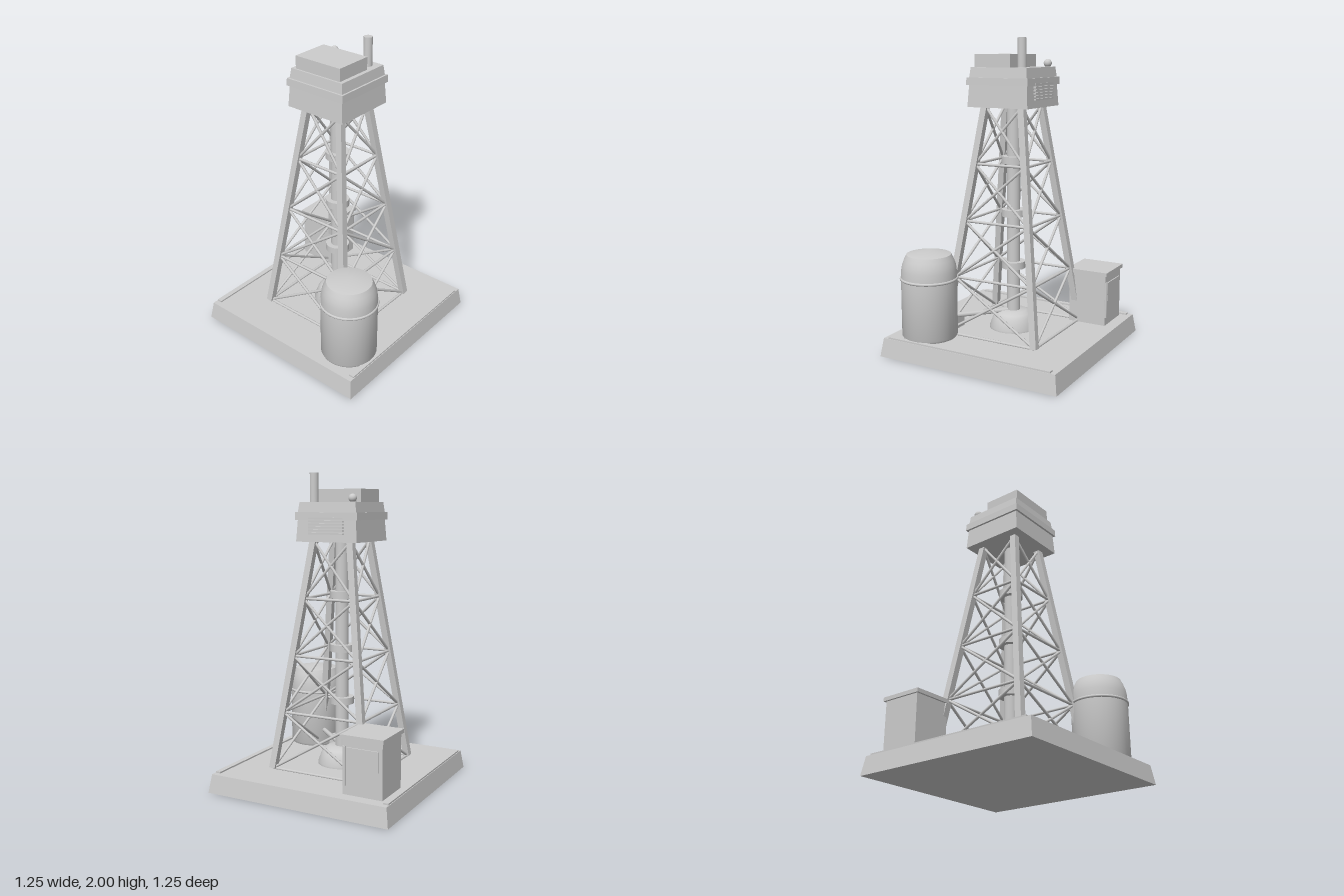
import * as THREE from 'three';
import { toCreasedNormals } from 'three/addons/utils/BufferGeometryUtils.js';

export function createModel() {
  const model = new THREE.Group();
  const grey = new THREE.MeshStandardMaterial({ color: 0xcccccc });
  grey.name = 'lightGrey';
  const UP = new THREE.Vector3(0, 1, 0);
  const v = (x, y, z) => new THREE.Vector3(x, y, z);

  function add(name, geometry, x = 0, y = 0, z = 0, parent = model) {
    const mesh = new THREE.Mesh(geometry, grey);
    mesh.name = name;
    mesh.position.set(x, y, z);
    parent.add(mesh);
    return mesh;
  }
  // Box given by its lower and upper limits
  function box(name, x0, x1, y0, y1, z0, z1, parent) {
    return add(name, new THREE.BoxGeometry(x1 - x0, y1 - y0, z1 - z0),
      (x0 + x1) / 2, (y0 + y1) / 2, (z0 + z1) / 2, parent);
  }
  // Square block whose half width changes from bottom to top
  function taperedBlock(name, y0, y1, bottom, top, parent) {
    const g = new THREE.CylinderGeometry(top * Math.SQRT2, bottom * Math.SQRT2, y1 - y0, 4);
    g.rotateY(Math.PI / 4);
    return add(name, toCreasedNormals(g, 0.3), 0, (y0 + y1) / 2, 0, parent);
  }
  function cylinder(name, r, y0, y1, x, z, parent) {
    return add(name, new THREE.CylinderGeometry(r, r, y1 - y0, 32), x, (y0 + y1) / 2, z, parent);
  }
  function lathe(name, points, x, z, parent) {
    const g = new THREE.LatheGeometry(points.map(p => new THREE.Vector2(...p)), 40);
    return add(name, toCreasedNormals(g, 0.6), x, 0, z, parent);
  }
  // Straight bar between two points, square or round
  function bar(name, a, b, size, square, parent) {
    const length = a.distanceTo(b);
    const g = square ? new THREE.BoxGeometry(size, length, size)
      : new THREE.CylinderGeometry(size, size, length, 8);
    const mesh = add(name, g, 0, 0, 0, parent);
    mesh.position.copy(a).add(b).multiplyScalar(0.5);
    mesh.quaternion.setFromUnitVectors(UP, b.clone().sub(a).normalize());
    return mesh;
  }

  // Base slab and edge rails
  taperedBlock('baseSlab', 0, 0.12, 0.625, 0.607);
  for (const s of [-1, 1]) {
    const rail = box('edgeRail', -0.017, 0.017, 0.12, 0.13, -0.572, 0.572);
    rail.position.x = s * 0.586;
  }

  // Lattice tower
  const tower = new THREE.Group();
  tower.name = 'latticeTower';
  model.add(tower);
  const y0 = 0.125, y1 = 1.58;
  const corner = (y, sx, sz) => {
    const r = THREE.MathUtils.lerp(0.327, 0.13, (y - y0) / (y1 - y0));
    return v(sx * r, y, sz * r);
  };
  const corners = [[1, 1], [1, -1], [-1, -1], [-1, 1]];
  const bays = 4;
  corners.forEach((c, i) => {
    const d = corners[(i + 1) % 4];
    bar('towerLeg', corner(y0, ...c), corner(y1, ...c), 0.042, true, tower);
    for (let k = 0; k < bays; k++) {
      const lo = y0 + (y1 - y0) * k / bays, hi = y0 + (y1 - y0) * (k + 1) / bays;
      bar('crossBar', corner(lo, ...c), corner(lo, ...d), 0.009, false, tower);
      bar('diagonalBrace', corner(lo, ...c), corner(hi, ...d), 0.009, false, tower);
      bar('diagonalBrace', corner(lo, ...d), corner(hi, ...c), 0.009, false, tower);
    }
  });

  // Central riser with collars and foot
  cylinder('riserPipe', 0.043, 0.12, 1.6, 0, 0);
  for (const y of [0.545, 0.89, 1.235]) cylinder('riserCollar', 0.077, y - 0.023, y + 0.023, 0, 0);
  lathe('riserFoot', [[0, 0.12], [0.157, 0.12], [0.157, 0.132], [0.132, 0.2], [0.115, 0.222],
    [0.085, 0.237], [0, 0.24]], 0, 0);

  // Head cabin
  const cabin = new THREE.Group();
  cabin.name = 'headCabin';
  model.add(cabin);
  taperedBlock('cabinBody', 1.575, 1.712, 0.212, 0.203, cabin);
  taperedBlock('cabinLip', 1.71, 1.757, 0.217, 0.215, cabin);
  taperedBlock('cabinTop', 1.755, 1.82, 0.203, 0.195, cabin);
  box('roofUnit', -0.169, 0.169, 1.815, 1.9, -0.07, 0.183, cabin);
  cylinder('exhaustPipe', 0.027, 1.81, 2, 0.127, -0.13, cabin);
  add('roofLamp', new THREE.SphereGeometry(0.026, 24, 16), -0.158, 1.843, -0.16, cabin);
  for (let i = 0; i < 6; i++) {
    const y = 1.627 + i * 0.0185;
    box('ventSlat', -0.12, 0.12, y - 0.005, y + 0.005, -0.221, -0.195, cabin);
  }

  // Storage tank
  const tx = 0.413, tz = 0.384;
  lathe('tankBody', [[0, 0.12], [0.17, 0.12], [0.178, 0.135], [0.178, 0.51], [0.175, 0.56],
    [0.169, 0.593], [0.157, 0.627], [0.142, 0.657], [0, 0.685]], tx, tz);
  const band = add('tankBand', new THREE.TorusGeometry(0.177, 0.009, 10, 40), tx, 0.503, tz);
  band.rotation.x = Math.PI / 2;
  bar('feedPipe', v(0, 0.234, 0), v(0.35, 0.234, 0.33), 0.016, false);
  box('pumpBox', 0.145, 0.29, 0.12, 0.2, 0.295, 0.355);

  // Control hut
  const hut = new THREE.Group();
  hut.name = 'controlHut';
  model.add(hut);
  box('hutBody', -0.545, -0.287, 0.12, 0.462, -0.53, -0.272, hut);
  box('hutRoof', -0.557, -0.275, 0.46, 0.485, -0.544, -0.258, hut);
  box('hutWindow', -0.52, -0.315, 0.285, 0.41, -0.538, -0.529, hut);
  cylinder('hutConduit', 0.011, 0.175, 0.415, -0.297, -0.53, hut);

  return model;
}
